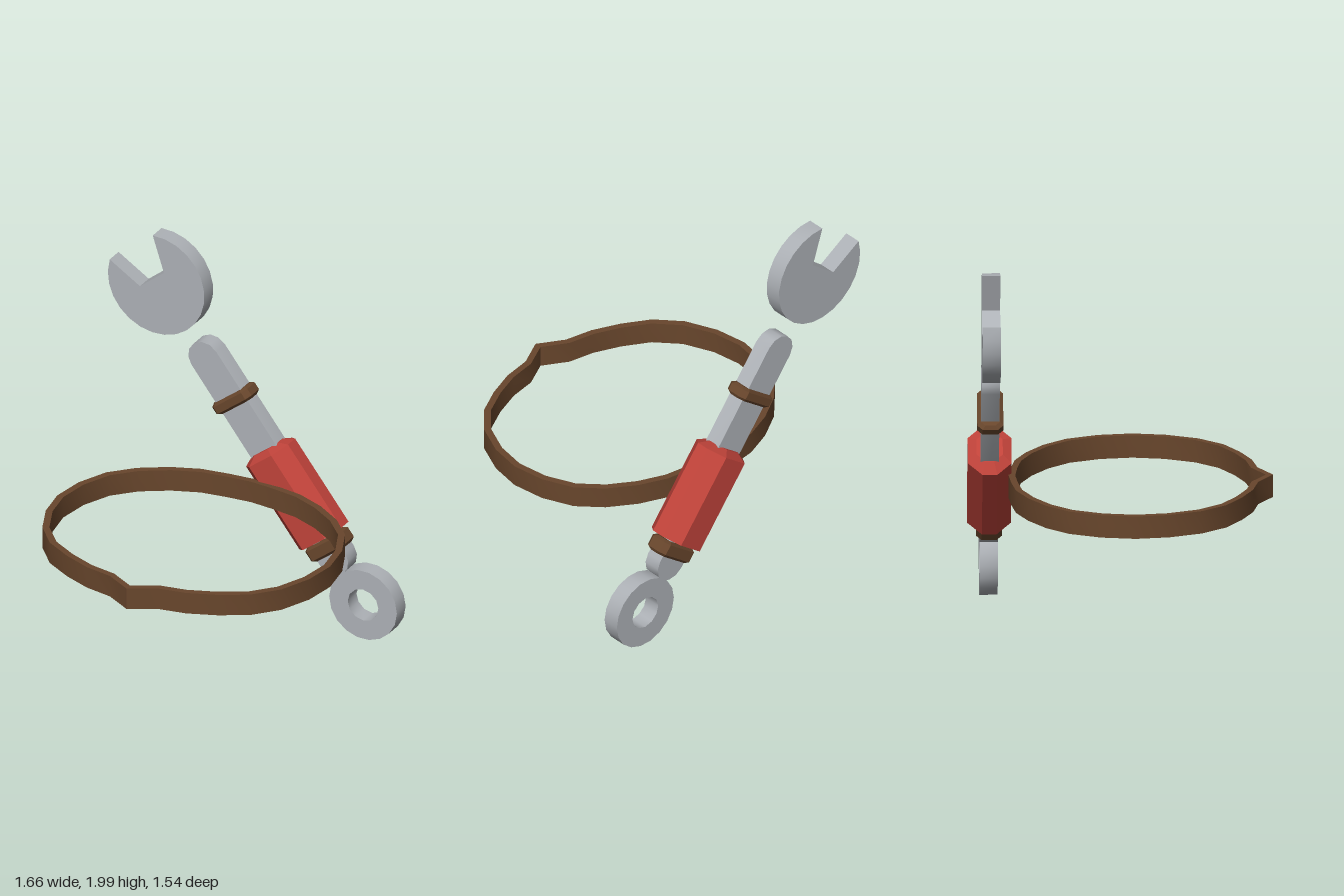
import * as THREE from 'three';
import { toCreasedNormals } from 'three/addons/utils/BufferGeometryUtils.js';
import { ConvexGeometry } from 'three/addons/geometries/ConvexGeometry.js';

const TOOL_Z = -0.665; // middle plane of the wrench
const THICK = 0.092;   // thickness of its steel plates

const steel = new THREE.MeshStandardMaterial({ name: 'steel', color: 0xadb1b6 });
const red = new THREE.MeshStandardMaterial({ name: 'red grip', color: 0xc0433a });
const leather = new THREE.MeshStandardMaterial({ name: 'brown leather', color: 0x68462c });

function part(name, geometry, material, x = 0, y = 0, z = 0) {
  const mesh = new THREE.Mesh(geometry, material);
  mesh.name = name;
  mesh.position.set(x, y, z);
  return mesh;
}

// Points along an arc, angles in degrees
function arc(cx, cy, r, from, to, steps) {
  return Array.from({ length: steps + 1 }, (_, i) => {
    const a = THREE.MathUtils.degToRad(from + (to - from) * i / steps);
    return new THREE.Vector2(cx + r * Math.cos(a), cy + r * Math.sin(a));
  });
}

// Plate with smooth rims and sharp edges, centred on z = 0
function plate(shape, depth = THICK) {
  const g = new THREE.ExtrudeGeometry(shape, { depth, bevelEnabled: false });
  g.translate(0, 0, -depth / 2);
  return toCreasedNormals(g, 0.6);
}

// Eight-sided block from rings [y, halfWidth, halfDepth, cornerX, cornerZ]
function octagonBlock(rings) {
  const points = [];
  for (const [y, w, d, cx, cz] of rings)
    for (const sx of [-1, 1])
      for (const sz of [-1, 1])
        points.push(
          new THREE.Vector3(sx * w, y, sz * (d - cz)),
          new THREE.Vector3(sx * (w - cx), y, sz * d));
  return new ConvexGeometry(points);
}

function createCollar(name, y, h) {
  const c = 0.014;
  return part(name, octagonBlock([
    [-h, 0.112, 0.05, 0.025, 0.025],
    [-h + c, 0.128, 0.066, 0.027, 0.027],
    [h - c, 0.128, 0.066, 0.027, 0.027],
    [h, 0.112, 0.05, 0.025, 0.025],
  ]), leather, 0, y, 0);
}

function createBelt() {
  // Right half of the outline, back to front, relative to the centre line
  const half = [
    [0, -0.57], [0.138, -0.558], [0.286, -0.536], [0.433, -0.478], [0.576, -0.388],
    [0.688, -0.272], [0.759, -0.112], [0.786, 0.063], [0.759, 0.232], [0.688, 0.397],
    [0.576, 0.522], [0.433, 0.603], [0.286, 0.661], [0.138, 0.688], [0, 0.765],
  ];
  const loop = [...half, ...half.slice(1, -1).reverse().map(([x, z]) => [-x, z])];
  const cz = 0.065;
  const scaled = (sx, sz) => loop.map(([x, z]) =>
    new THREE.Vector2(0.037 + x * sx, cz + (z - cz) * sz));
  const shape = new THREE.Shape(scaled(1, 1));
  shape.holes.push(new THREE.Path(scaled(0.955, 0.947)));
  const g = plate(shape, 0.117);
  g.rotateX(Math.PI / 2);
  return part('belt', g, leather, 0, 0.728, 0);
}

export function createModel() {
  const model = new THREE.Group();
  model.name = 'belt with wrench';
  model.add(createBelt());

  // Open jaw
  const jaw = new THREE.Shape([
    ...arc(0, 0, 0.278, 94, -196, 20),
    new THREE.Vector2(-0.093, -0.032),
    new THREE.Vector2(0.045, 0.08),
  ]);
  model.add(part('wrenchJaw', plate(jaw), steel, -0.555, 1.722, TOOL_Z));

  // Ring end
  const ring = new THREE.Shape(arc(0, 0, 0.195, 0, 340, 17));
  ring.holes.push(new THREE.Path(arc(0, 0, 0.088, 0, 330, 11)));
  model.add(part('wrenchRing', plate(ring), steel, 0.637, 0.197, TOOL_Z));

  // Tilted shaft with its grip and collars
  const handle = new THREE.Group();
  handle.name = 'wrenchHandle';
  handle.position.set(0.235, 0.704, TOOL_Z);
  handle.rotation.z = 0.661;
  const bar = new THREE.Shape([
    ...arc(0.004, 0.845, 0.09, 0, 180, 6),
    ...arc(0, -0.37, 0.09, 180, 360, 6),
  ]);
  handle.add(part('shaft', plate(bar), steel));
  handle.add(part('grip', octagonBlock([
    [-0.248, 0.153, 0.11, 0.073, 0.073],
    [0.254, 0.153, 0.11, 0.073, 0.073],
    [0.286, 0.092, 0.066, 0.044, 0.044],
  ]), red));
  handle.add(createCollar('upperCollar', 0.582, 0.034));
  handle.add(createCollar('lowerCollar', -0.3, 0.042));
  model.add(handle);

  return model;
}
